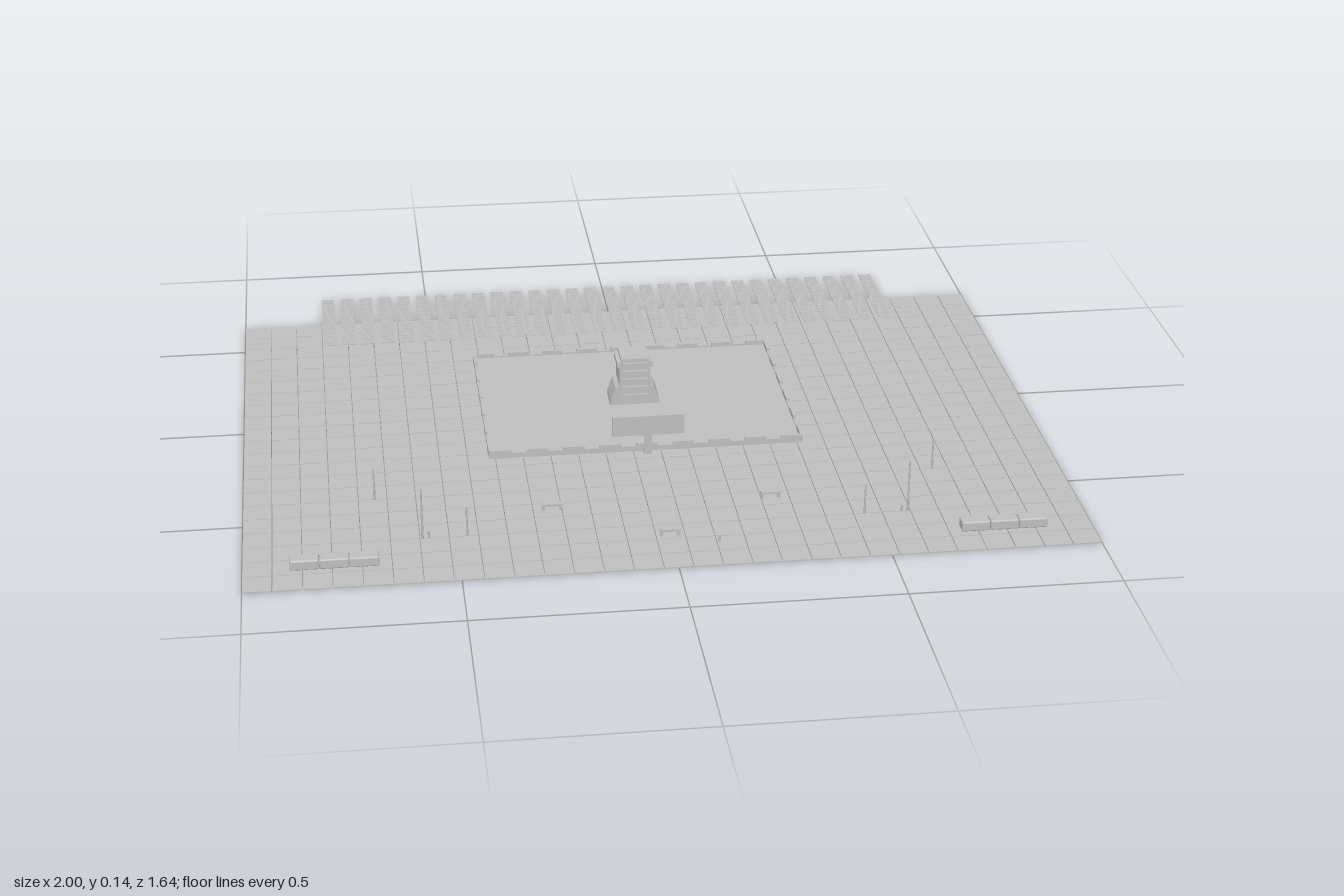
import * as THREE from 'three';
import { RoundedBoxGeometry } from 'three/addons/geometries/RoundedBoxGeometry.js';
import { mergeGeometries } from 'three/addons/utils/BufferGeometryUtils.js';

export function createModel() {
  const root = new THREE.Group();
  root.name = 'plaza';
  const stone = new THREE.MeshStandardMaterial({ color: 0xbfbfbf });
  stone.name = 'stone grey';

  const add = (name, geometry) => {
    const mesh = new THREE.Mesh(geometry, stone);
    mesh.name = name;
    root.add(mesh);
    return mesh;
  };
  // Box centred in x and z whose bottom sits at y
  const block = (w, h, d, x, y, z) => new THREE.BoxGeometry(w, h, d).translate(x, y + h / 2, z);

  // Paving: square slabs with hairline joints
  const columns = 29, rows = 21, back = -0.65, front = 0.82;
  const px = 2 / columns, pz = (front - back) / rows;
  const slabs = [];
  for (let i = 0; i < columns; i++) {
    for (let j = 0; j < rows; j++) {
      slabs.push(block(px - 0.002, 0.003, pz - 0.002, -1 + (i + 0.5) * px, 0, back + (j + 0.5) * pz));
    }
  }
  add('paving', mergeGeometries(slabs));

  // Thin slatted strips across the back edge
  const slats = [];
  for (let i = 0; i < 30; i++) {
    const x = -0.773 + i * 0.0527;
    const end = i < 7 ? -0.51 : -0.52;
    const count = 22, pitch = (end + 0.82) / count;
    for (let j = 0; j < count; j++) {
      slats.push(block(0.034, 0.002, pitch * 0.8, x, 0.0025, -0.82 + (j + 0.5) * pitch));
    }
  }
  add('slattedStrips', mergeGeometries(slats));

  // Raised platform with a low notched rim
  const hw = 0.395, z0 = -0.367, z1 = 0.217;
  add('platform', block(2 * hw, 0.012, z1 - z0, 0, 0, (z0 + z1) / 2));
  const rim = [];
  for (const z of [z0 + 0.003, z1 - 0.003]) {
    rim.push(block(2 * hw, 0.016, 0.006, 0, 0, z));
    for (let i = 0; i < 9; i++) rim.push(block(0.054, 0.024, 0.008, (i - 4) * 0.0915, 0, z));
  }
  for (const x of [-hw + 0.003, hw - 0.003]) {
    rim.push(block(0.006, 0.016, z1 - z0, x, 0, (z0 + z1) / 2));
    for (let i = 0; i < 6; i++) rim.push(block(0.008, 0.024, 0.052, x, 0, -0.335 + i * 0.104));
  }
  add('platformRim', mergeGeometries(rim));

  // Monument: flared foot, narrow shaft and a stepped cap
  const half = [[0.065, 0.01], [0.062, 0.028], [0.05, 0.058], [0.04, 0.064],
    [0.04, 0.114], [0.046, 0.118], [0.046, 0.13], [0.036, 0.132], [0.036, 0.14]];
  const outline = [...half, ...half.map(([x, y]) => [-x, y]).reverse()];
  const profile = new THREE.Shape(outline.map(([x, y]) => new THREE.Vector2(x, y)));
  add('monument', new THREE.ExtrudeGeometry(profile, { depth: 0.076, bevelEnabled: false })
    .translate(0, 0, -0.109));
  const bands = [];
  for (let i = 0; i < 5; i++) bands.push(block(0.066, 0.012, 0.09, 0, 0.03 + i * 0.022, -0.071));
  add('monumentBands', mergeGeometries(bands));

  // Board on a post in front of the platform
  add('signBoard', block(0.18, 0.052, 0.006, 0, 0.06, 0.243));
  add('signPost', block(0.02, 0.07, 0.006, 0, 0, 0.234));

  // Mirrored poles and hedges
  for (const side of [-1, 1]) {
    for (const [x, z, h] of [[0.58, 0.61, 0.135], [0.475, 0.61, 0.08], [0.685, 0.4, 0.085]]) {
      add('pole', new THREE.CylinderGeometry(0.0018, 0.003, h, 8).translate(side * x, h / 2, z));
    }
    for (let i = 0; i < 3; i++) {
      add('hedge', new RoundedBoxGeometry(0.068, 0.025, 0.036, 2, 0.004)
        .translate(side * (0.719 + i * 0.069), 0.0145, 0.713));
    }
  }

  // Small benches: seat on two legs
  for (const [x, z] of [[-0.265, 0.503], [0.265, 0.503], [0, 0.663]]) {
    const parts = [block(0.05, 0.006, 0.012, x, 0.014, z)];
    for (const s of [-1, 1]) parts.push(block(0.006, 0.014, 0.01, x + s * 0.02, 0, z));
    add('bench', mergeGeometries(parts));
  }

  // Short bollards
  for (const [x, z] of [[-0.565, 0.61], [0.565, 0.61], [0.11, 0.71]]) {
    add('bollard', new THREE.CylinderGeometry(0.0025, 0.0025, 0.02, 8).translate(x, 0.01, z));
  }
  return root;
}
